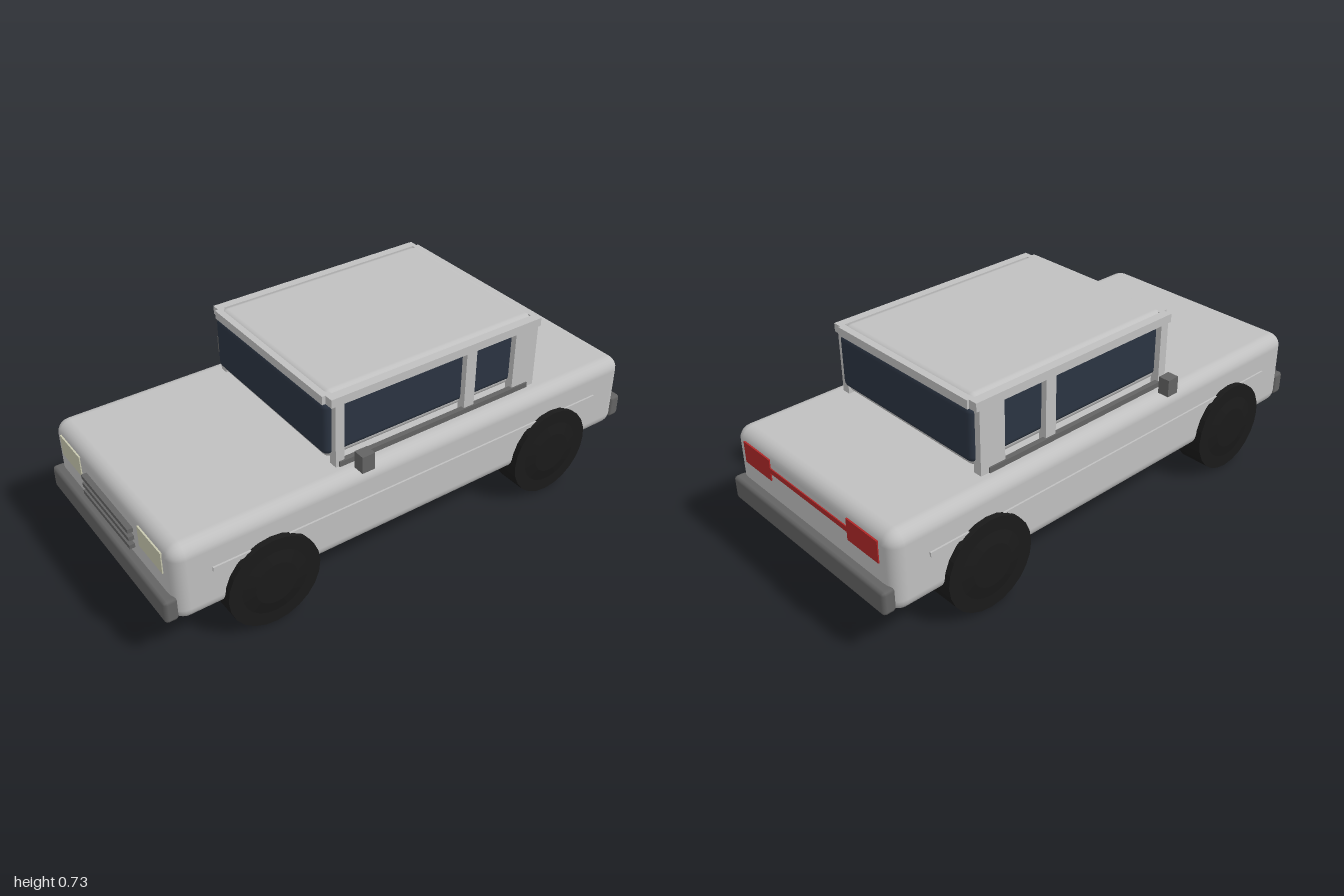
import * as THREE from 'three';
import { RoundedBoxGeometry } from 'three/addons/geometries/RoundedBoxGeometry.js';
import { toCreasedNormals } from 'three/addons/utils/BufferGeometryUtils.js';

const paint = (name, color) => {
  const m = new THREE.MeshStandardMaterial({ color });
  m.name = name;
  return m;
};

export function createModel() {
  const silver = paint('silver', 0xc0c0c0);
  const grey = paint('trimGrey', 0x646464);
  const glass = paint('darkGlass', 0x2b3442);
  const rubber = paint('rubber', 0x1a1a1a);
  const cream = paint('headlightCream', 0xc8c8b0);
  const red = paint('tailRed', 0xb02828);
  const car = new THREE.Group();
  car.name = 'car';

  const add = (name, geometry, material, x, y, z) => {
    const mesh = new THREE.Mesh(geometry, material);
    mesh.name = name;
    mesh.position.set(x, y, z);
    car.add(mesh);
    return mesh;
  };
  // Box given by its limits on each axis; a radius rounds its edges
  const block = (name, material, [x0, x1], [y0, y1], [z0, z1], radius = 0, segments = 3) => {
    const size = [x1 - x0, y1 - y0, z1 - z0];
    const geometry = radius
      ? new RoundedBoxGeometry(...size, segments, radius)
      : new THREE.BoxGeometry(...size);
    return add(name, geometry, material, (x0 + x1) / 2, (y0 + y1) / 2, (z0 + z1) / 2);
  };
  // The same box on both sides of the car
  const pair = (name, material, [x0, x1], y, z) => {
    block(name + 'Left', material, [x0, x1], y, z);
    block(name + 'Right', material, [-x1, -x0], y, z);
  };

  // Lower body and bumpers
  block('body', silver, [-0.44, 0.44], [0.15, 0.45], [-0.965, 0.965], 0.05);
  block('frontBumper', grey, [-0.43, 0.43], [0.17, 0.26], [0.95, 1.0], 0.013, 1);
  block('rearBumper', grey, [-0.43, 0.43], [0.17, 0.26], [-1.0, -0.95], 0.013, 1);
  pair('sideTrim', silver, [0.435, 0.447], [0.317, 0.333], [-0.825, 0.83]);

  // Cabin shell with a band of glass around it
  block('cabinShell', silver, [-0.345, 0.345], [0.465, 0.727], [-0.565, 0.335], 0.03);
  block('cabinGlass', glass, [-0.351, 0.351], [0.485, 0.695], [-0.575, 0.345], 0.025);

  // Roof rails, pillars and sills
  pair('roofSideRail', silver, [0.34, 0.374], [0.69, 0.722], [-0.57, 0.333]);
  block('roofFrontRail', silver, [-0.34, 0.34], [0.69, 0.722], [0.31, 0.346]);
  block('roofRearRail', silver, [-0.34, 0.34], [0.69, 0.722], [-0.578, -0.55]);
  for (const [name, z] of [
    ['frontPillar', [0.283, 0.318]],
    ['middlePillar', [-0.275, -0.23]],
    ['rearPillar', [-0.558, -0.455]],
  ]) pair(name, silver, [0.34, 0.374], [0.45, 0.69], z);
  pair('windowSill', grey, [0.36, 0.38], [0.45, 0.47], [-0.525, 0.305]);

  // Mirrors
  pair('mirror', grey, [0.423, 0.468], [0.465, 0.53], [0.228, 0.278]);

  // Lamps and grille
  pair('headlight', cream, [0.217, 0.376], [0.33, 0.412], [0.961, 0.969]);
  pair('tailLight', red, [0.217, 0.376], [0.33, 0.412], [-0.969, -0.961]);
  block('tailLightBar', red, [-0.217, 0.217], [0.36, 0.38], [-0.969, -0.961]);
  for (const y of [0.3, 0.333, 0.365]) {
    block('grilleBar', grey, [-0.175, 0.175], [y - 0.008, y + 0.008], [0.96, 0.985]);
  }

  // Wheels: a tyre with a shallow raised hub on both faces
  const profile = [
    [0, -0.066], [0.08, -0.066], [0.125, -0.057], [0.175, -0.057],
    [0.175, 0.057], [0.125, 0.057], [0.08, 0.066], [0, 0.066],
  ].map(([r, h]) => new THREE.Vector2(r, h));
  const wheel = toCreasedNormals(new THREE.LatheGeometry(profile, 24), 0.15);
  wheel.rotateZ(Math.PI / 2);
  for (const [end, z] of [['front', 0.62], ['rear', -0.6]]) {
    for (const [side, s] of [['Left', 1], ['Right', -1]]) {
      add(`${end}Wheel${side}`, wheel, rubber, s * 0.406, 0.175, z);
    }
  }
  return car;
}
